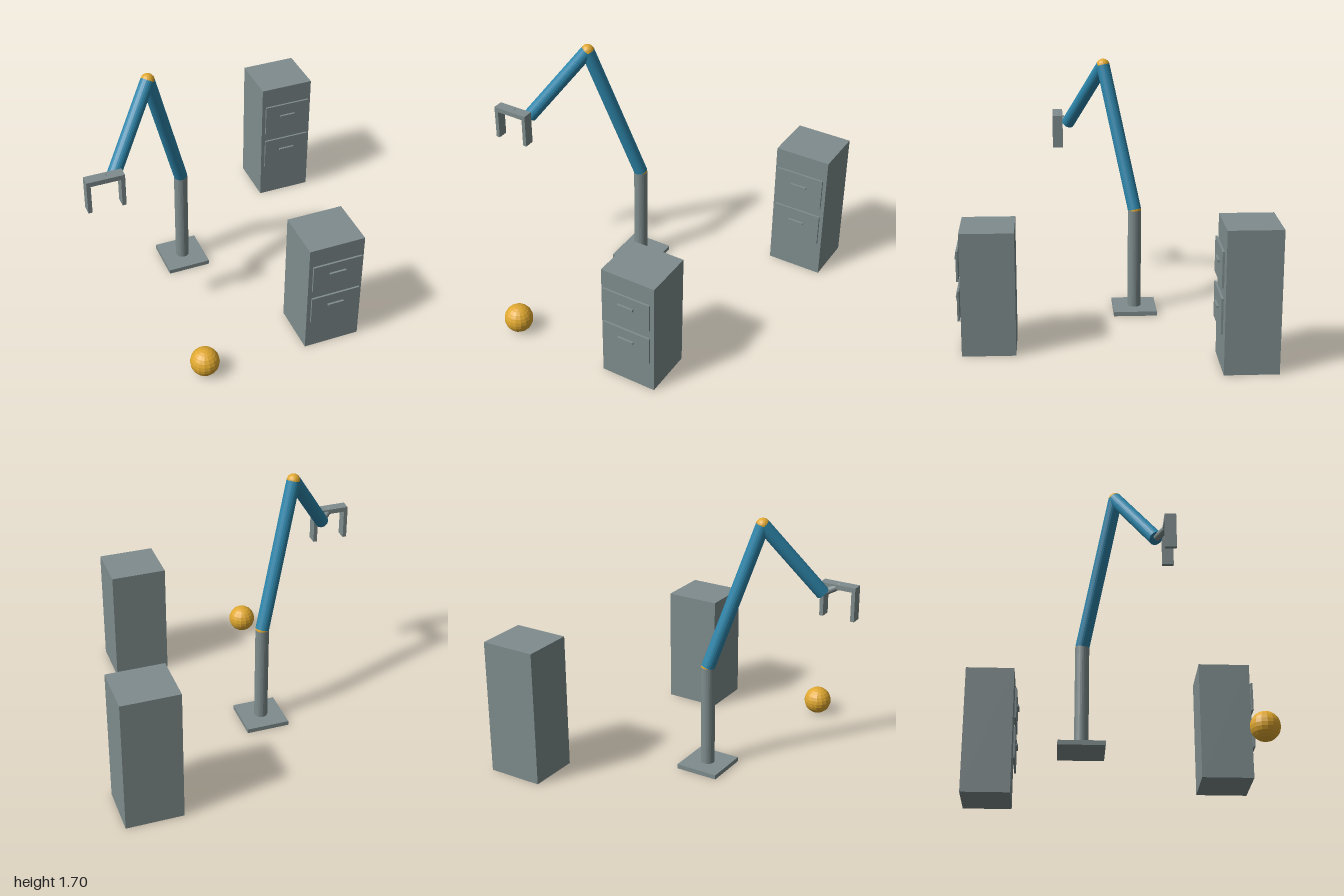
import * as THREE from 'three';

export function createModel() {
  const model = new THREE.Group();
  model.name = 'robotArmWithCabinets';

  const mat = (name, color) => {
    const m = new THREE.MeshStandardMaterial({ color, flatShading: true });
    m.name = name;
    return m;
  };
  const grey = mat('steelGrey', 0x7f8c8d);
  const blue = mat('armBlue', 0x2e86ab);
  const gold = mat('jointGold', 0xe0a830);

  const add = (parent, name, geometry, material, x, y, z) => {
    const mesh = new THREE.Mesh(geometry, material);
    mesh.name = name;
    mesh.position.set(x, y, z);
    parent.add(mesh);
    return mesh;
  };

  // Box given by its minimum and maximum corners
  const box = (parent, name, [x0, y0, z0], [x1, y1, z1], material = grey) =>
    add(parent, name, new THREE.BoxGeometry(x1 - x0, y1 - y0, z1 - z0), material,
      (x0 + x1) / 2, (y0 + y1) / 2, (z0 + z1) / 2);

  // Cylinder running from point a to point b
  const link = (parent, name, a, b, radius, material) => {
    const dir = b.clone().sub(a);
    const mid = a.clone().addScaledVector(dir, 0.5);
    const mesh = add(parent, name, new THREE.CylinderGeometry(radius, radius, dir.length(), 24),
      material, mid.x, mid.y, mid.z);
    mesh.quaternion.setFromUnitVectors(new THREE.Vector3(0, 1, 0), dir.normalize());
    return mesh;
  };

  const ball = (parent, name, p, radius) =>
    add(parent, name, new THREE.SphereGeometry(radius, 16, 12), gold, p.x, p.y, p.z);

  // Arm: base plate, column, two links and their joints
  const arm = new THREE.Group();
  arm.name = 'arm';
  model.add(arm);
  const foot = new THREE.Vector3(-0.193, 0.03, -0.2);
  const shoulder = new THREE.Vector3(-0.193, 0.71, -0.2);
  const elbow = new THREE.Vector3(-0.463, 1.65, 0);
  const wrist = new THREE.Vector3(-0.775, 1.19, 0.235);
  const palm = new THREE.Vector3(-0.858, 1.232, 0.307);
  box(arm, 'basePlate', [-0.338, 0, -0.347], [-0.048, 0.03, -0.054]);
  link(arm, 'column', foot, shoulder, 0.045, grey);
  ball(arm, 'shoulderJoint', shoulder, 0.045);
  link(arm, 'lowerArm', shoulder, elbow, 0.045, blue);
  ball(arm, 'elbowJoint', elbow, 0.045);
  link(arm, 'upperArm', elbow, wrist, 0.045, blue);
  link(arm, 'wristLink', wrist, palm, 0.022, grey);

  // Gripper: palm bar with two fingers
  const gripper = new THREE.Group();
  gripper.name = 'gripper';
  arm.add(gripper);
  box(gripper, 'palmBar', [-0.98, 1.215, 0.272], [-0.737, 1.247, 0.342]);
  for (const x of [-0.98, -0.763]) {
    box(gripper, 'finger', [x, 1.02, 0.272], [x + 0.026, 1.215, 0.342]);
  }

  // Cabinets: body, and drawer fronts with handles standing just off the face
  const cabinet = (name, x, front, height, drawers, drawerHeight) => {
    const group = new THREE.Group();
    group.name = name;
    model.add(group);
    box(group, 'cabinetBody', [x - 0.187, 0, front - 0.34], [x + 0.187, height, front]);
    for (const y of drawers) {
      const h = drawerHeight / 2;
      box(group, 'drawerFront', [x - 0.165, y - h, front + 0.009], [x + 0.165, y + h, front + 0.022]);
      const hy = y + 0.021;
      box(group, 'drawerHandle', [x - 0.055, hy - 0.007, front + 0.022], [x + 0.055, hy + 0.007, front + 0.036]);
    }
  };
  cabinet('frontCabinet', 0.42, 0.933, 0.8, [0.323, 0.582], 0.195);
  cabinet('rearCabinet', 0.788, -0.66, 0.91, [0.368, 0.66], 0.226);

  // Loose ball on the floor
  ball(model, 'floorBall', new THREE.Vector3(-0.448, 0.094, 0.903), 0.094);

  return model;
}
